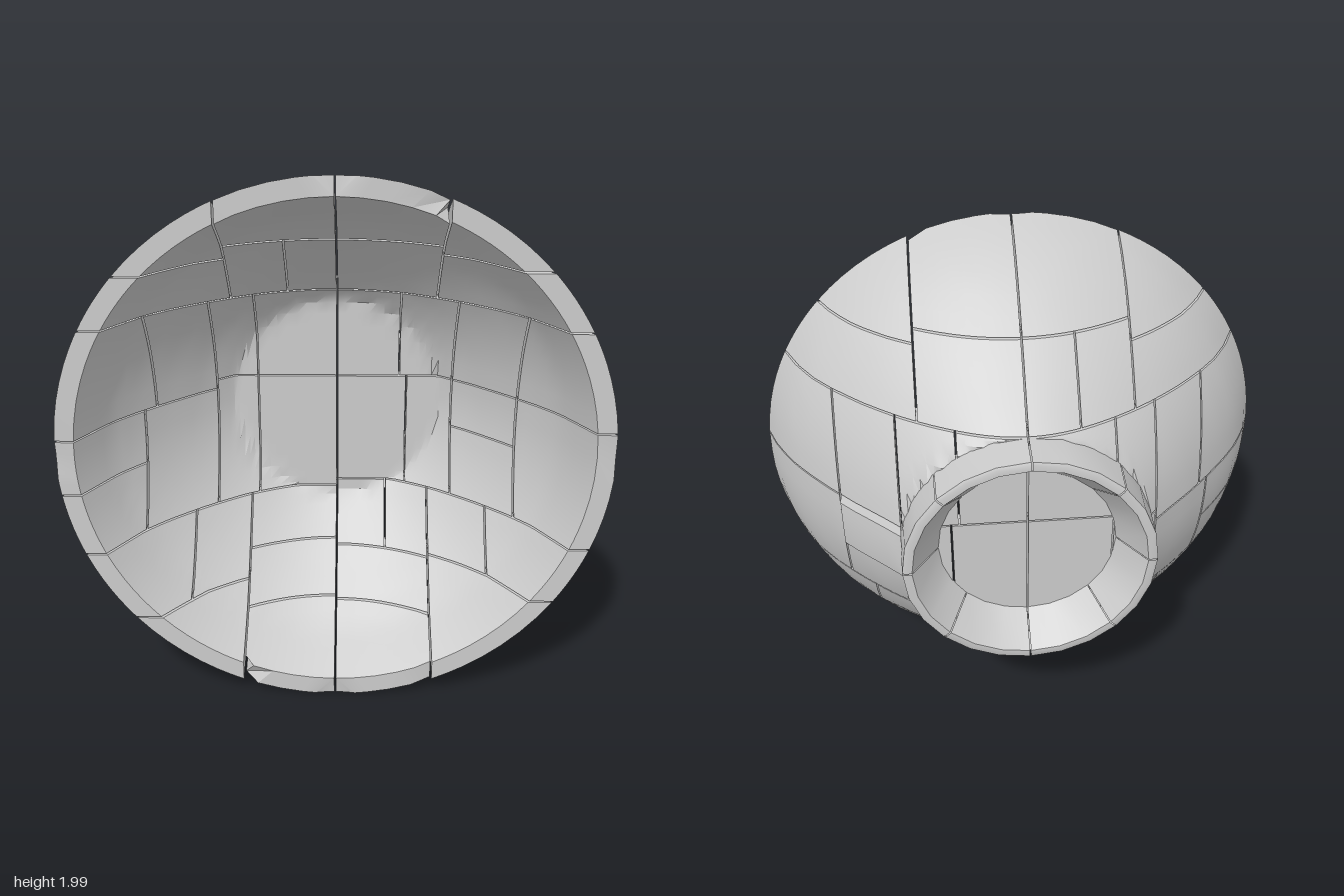
import * as THREE from 'three';
import { toCreasedNormals } from 'three/addons/utils/BufferGeometryUtils.js';

const material = new THREE.MeshStandardMaterial({ color: 0xcccccc, side: THREE.DoubleSide });
const CENTRE_Y = 1, GAP = 0.003, N = 8;

// Depth of the shell against distance from the axis: [radius, z]
const OUTER = [[0.47, -0.27], [0.54, -0.2], [0.64, -0.105], [0.74, 0], [0.83, 0.105], [0.9, 0.2], [0.96, 0.31], [1, 0.41]];
const INNER = [[0.42, -0.2], [0.54, -0.1], [0.66, 0.02], [0.76, 0.13], [0.83, 0.22], [0.93, 0.41]];

function depth(profile, r) {
  if (r <= profile[0][0]) return profile[0][1];
  for (let i = 1; i < profile.length; i++) {
    const [r0, z0] = profile[i - 1], [r1, z1] = profile[i];
    if (r <= r1) return z0 + (z1 - z0) * (r - r0) / (r1 - r0);
  }
  return profile[profile.length - 1][1];
}

// Grid of points over a rectangle, clipped to the disc where the profile ends
function skin(profile, [x0, x1, y0, y1], lift, out) {
  const R = profile[profile.length - 1][0];
  const clamp = THREE.MathUtils.clamp;
  const nearX = x0 * x1 < 0 ? 0 : Math.min(Math.abs(x0), Math.abs(x1), R);
  const top = Math.sqrt(R * R - nearX * nearX);
  const ya = clamp(y0, -top, top), yb = clamp(y1, -top, top);
  for (let j = 0; j <= N; j++) {
    // rows crowd towards the rim so that the circle stays round
    const t = j / N;
    const e = ya + yb > 0 ? Math.sin(t * Math.PI / 2) : 1 - Math.cos(t * Math.PI / 2);
    const y = ya + (yb - ya) * e;
    const limit = Math.sqrt(Math.max(0, R * R - y * y));
    const xa = clamp(x0, -limit, limit), xb = clamp(x1, -limit, limit);
    for (let i = 0; i <= N; i++) {
      const x = xa + (xb - xa) * i / N;
      out.push(x, y + CENTRE_Y, depth(profile, Math.hypot(x, y)) - lift);
    }
  }
}

// One thick curved plate of the bowl
function plate(x0, x1, y0, y1, lift = 0) {
  const rect = [x0 + GAP, x1 - GAP, y0 + GAP, y1 - GAP];
  const positions = [], index = [], row = N + 1, inner = row * row;
  skin(OUTER, rect, lift, positions);
  skin(INNER, rect, 0, positions);
  for (let j = 0; j < N; j++) {
    for (let i = 0; i < N; i++) {
      const a = j * row + i, b = a + 1, d = a + row, c = d + 1;
      index.push(a, c, b, a, d, c);
      index.push(inner + a, inner + b, inner + c, inner + a, inner + c, inner + d);
    }
  }
  // walls around the edge
  const edge = [];
  for (let i = 0; i < N; i++) edge.push(i);
  for (let j = 0; j < N; j++) edge.push(j * row + N);
  for (let i = N; i > 0; i--) edge.push(N * row + i);
  for (let j = N; j > 0; j--) edge.push(j * row);
  edge.forEach((p, k) => {
    const q = edge[(k + 1) % edge.length];
    index.push(p, q, inner + q, p, inner + q, inner + p);
  });
  const geometry = new THREE.BufferGeometry();
  geometry.setAttribute('position', new THREE.Float32BufferAttribute(positions, 3));
  geometry.setIndex(index);
  return new THREE.Mesh(toCreasedNormals(geometry, 0.5), material);
}

// Plates as [xMin, xMax, yMin, yMax, lift], measured from the bowl's axis
const PLATES = {
  upperPlate: [
    [-0.4, 0, 0.72, 1], [0, 0.38, 0.72, 1],
    [-0.4, -0.19, 0.47, 0.72], [-0.19, 0, 0.47, 0.72], [0, 0.38, 0.47, 0.72],
    [-1, -0.4, 0.66, 1], [-1, -0.4, 0.47, 0.66],
    [0.38, 1, 0.68, 1], [0.38, 1, 0.47, 0.68],
  ],
  rightSidePlate: [
    [-1, -0.69, 0.06, 0.47], [-0.69, -0.48, 0.06, 0.47],
    [-1, -0.73, -0.15, 0.06], [-1, -0.73, -0.39, -0.15], [-0.73, -0.48, -0.39, 0.06],
  ],
  leftSidePlate: [
    [0.46, 0.69, 0.1, 0.47], [0.69, 1, 0.1, 0.47],
    [0.46, 0.69, -0.1, 0.1, 0.045], [0.46, 0.69, -0.36, -0.1], [0.69, 1, -0.36, 0.1],
  ],
  floorPlate: [
    [-0.48, -0.32, 0.1, 0.47], [-0.32, 0, 0.1, 0.47], [0, 0.25, 0.1, 0.47], [0.25, 0.46, 0.1, 0.47],
    [-0.48, -0.32, -0.39, 0.1], [-0.32, 0, -0.39, 0.1],
    [0, 0.28, -0.36, 0.1], [0.28, 0.46, -0.36, 0.1],
  ],
  lowerPlate: [
    [-0.56, -0.35, -0.66, -0.39], [-1, -0.56, -0.66, -0.39], [-1, -0.35, -1, -0.66],
    [0.37, 0.59, -0.58, -0.36], [0.59, 1, -0.58, -0.36], [0.37, 1, -1, -0.58],
    [-0.35, 0, -0.57, -0.39], [0, 0.2, -0.59, -0.36], [0.2, 0.37, -0.59, -0.36],
    [-0.35, 0, -0.74, -0.57], [0, 0.37, -0.75, -0.59],
    [-0.35, 0, -1, -0.74], [0, 0.37, -1, -0.75],
  ],
};

// Ring of blocks standing out at the back, its inside sloping down to the floor
function createCollar() {
  const collar = new THREE.Group();
  collar.name = 'collar';
  const profile = [[0.47, 0.24], [0.465, 0.405], [0.455, 0.41], [0.43, 0.41], [0.33, 0.268]]
    .map(([r, h]) => new THREE.Vector2(r, h));
  const blocks = 8, step = Math.PI * 2 / blocks;
  for (let k = 0; k < blocks; k++) {
    const lathe = new THREE.LatheGeometry(profile, 3, k * step + 0.005, step - 0.01);
    lathe.rotateX(-Math.PI / 2).translate(0, CENTRE_Y, 0);
    const block = new THREE.Mesh(toCreasedNormals(lathe, 0.5), material);
    block.name = 'collarBlock';
    collar.add(block);
  }
  return collar;
}

export function createModel() {
  const model = new THREE.Group();
  model.name = 'platedBowl';
  for (const [name, list] of Object.entries(PLATES)) {
    for (const rect of list) {
      const mesh = plate(...rect);
      mesh.name = name;
      model.add(mesh);
    }
  }
  model.add(createCollar());
  return model;
}
